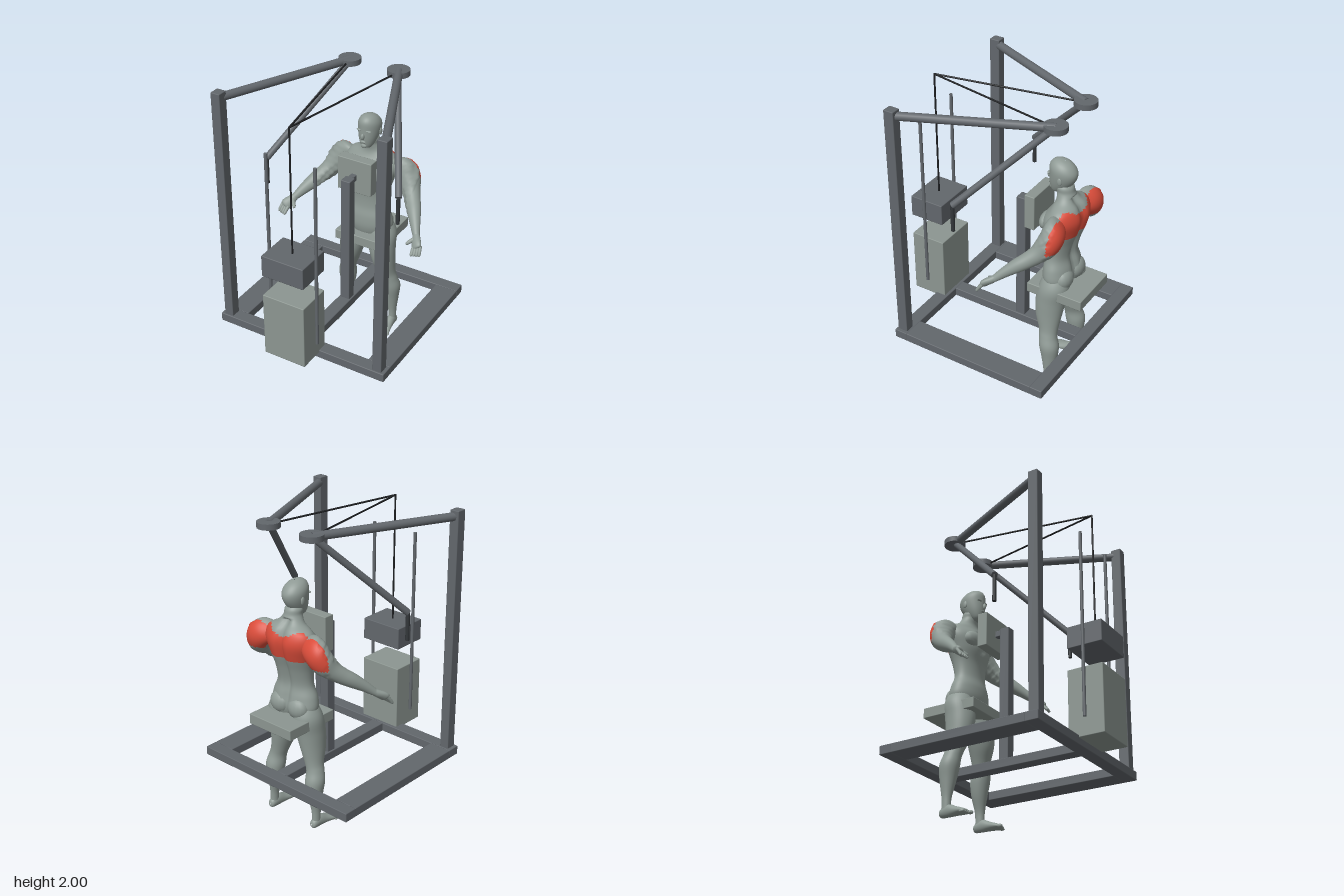
import * as THREE from 'three';
import { RoundedBoxGeometry } from 'three/addons/geometries/RoundedBoxGeometry.js';

const paint = (name, color) => Object.assign(new THREE.MeshStandardMaterial({ color }), { name });
const steel = paint('steel grey', 0x62676c);
const pad = paint('pad grey', 0x8c9691);
const skin = paint('figure grey', 0x8f9a95);
const muscle = paint('muscle red', 0xd94c3a);
const grip = paint('grip black', 0x33373a);
const cable = paint('cable black', 0x1e2022);

const V = (x, y, z) => new THREE.Vector3(x, y, z);

function add(parent, name, geometry, material) {
  const mesh = new THREE.Mesh(geometry, material);
  mesh.name = name;
  parent.add(mesh);
  return mesh;
}

// Softly edged block given by its limits on each axis
function block(parent, name, [x0, x1], [y0, y1], [z0, z1], material) {
  const g = new RoundedBoxGeometry(x1 - x0, y1 - y0, z1 - z0, 1, 0.005);
  g.translate((x0 + x1) / 2, (y0 + y1) / 2, (z0 + z1) / 2);
  return add(parent, name, g, material);
}

// Round bar between two points
function bar(parent, name, a, b, r, material, sides = 20) {
  const mesh = add(parent, name, new THREE.CylinderGeometry(r, r, a.distanceTo(b), sides), material);
  mesh.position.copy(a).lerp(b, 0.5);
  mesh.quaternion.setFromUnitVectors(V(0, 1, 0), b.clone().sub(a).normalize());
  return mesh;
}

function ball(parent, name, [x, y, z], [rx, ry, rz], material = skin) {
  const g = new THREE.SphereGeometry(1, 16, 12);
  g.scale(rx, ry, rz);
  g.translate(x, y, z);
  return add(parent, name, g, material);
}

// Smooth loft through elliptical stations [x, y, z, ra, rb]; faces passing isRed get the second material
function loft(parent, name, stations, { isRed = () => false, warp = () => {}, sides = 36, steps = 5 } = {}) {
  const path = new THREE.CatmullRomCurve3(stations.map(s => V(s[0], s[1], s[2])), false, 'catmullrom');
  const radii = new THREE.CatmullRomCurve3(stations.map(s => V(s[3], s[4], 0)), false, 'catmullrom');
  const dir = path.points.at(-1).clone().sub(path.points[0]).normalize();
  const side = dir.clone().cross(Math.abs(dir.z) > 0.9 ? V(0, 1, 0) : V(0, 0, 1)).normalize();
  const up = dir.clone().cross(side);
  const rows = (stations.length - 1) * steps;
  const points = [];
  for (let i = 0; i <= rows; i++) {
    const c = path.getPoint(i / rows), r = radii.getPoint(i / rows);
    for (let j = 0; j < sides; j++) {
      const a = (j / sides) * Math.PI * 2;
      const p = c.clone().addScaledVector(side, r.x * Math.cos(a)).addScaledVector(up, r.y * Math.sin(a));
      warp(p, c);
      points.push(p);
    }
  }
  const plain = [], red = [];
  for (let i = 0; i < rows; i++) {
    for (let j = 0; j < sides; j++) {
      const k = (j + 1) % sides;
      const a = i * sides + j, b = i * sides + k, c = b + sides, d = a + sides;
      const mid = points[a].clone().add(points[c]).multiplyScalar(0.5);
      (isRed(mid) ? red : plain).push(a, b, c, a, c, d);
    }
  }
  const g = new THREE.BufferGeometry().setFromPoints(points);
  g.setIndex([...plain, ...red]);
  g.addGroup(0, plain.length, 0);
  if (red.length) g.addGroup(plain.length, red.length, 1);
  g.computeVertexNormals();
  return add(parent, name, g, [skin, muscle]);
}

function buildMachine() {
  const m = new THREE.Group();
  m.name = 'machine';
  // Floor frame
  const level = [0.31, 0.37];
  block(m, 'frontBaseBar', [-0.62, 0.62], level, [0.39, 0.48], steel);
  block(m, 'backBaseBar', [-0.62, 0.62], level, [-0.64, -0.553], steel);
  block(m, 'centreBaseBar', [-0.045, 0.045], level, [-0.556, 0.393], steel);
  // Chest support and seat
  block(m, 'chestPost', [-0.034, 0.034], [0.365, 1.29], [-0.158, -0.09], steel);
  block(m, 'chestPadBracket', [-0.02, 0.02], [1.245, 1.288], [-0.21, -0.15], steel);
  block(m, 'chestPad', [-0.125, 0.125], [1.15, 1.39], [-0.275, -0.203], pad);
  block(m, 'seat', [-0.177, 0.177], [0.705, 0.775], [-0.652, -0.26], pad);
  // Weights
  block(m, 'weightStack', [-0.15, 0.15], [0.353, 0.805], [0.41, 0.653], pad);
  block(m, 'liftedWeight', [-0.15, 0.15], [0.95, 1.098], [0.41, 0.653], steel);
  bar(m, 'weightCable', V(0, 1.09, 0.533), V(0, 1.961, 0.533), 0.006, cable, 10);
  for (const s of [1, -1]) {
    const span = (a, b) => (s > 0 ? [a, b] : [-b, -a]);
    block(m, 'sideBaseBar', span(0.462, 0.62), level, [-0.556, 0.393], steel);
    block(m, 'upright', span(0.532, 0.597), [0.365, 2], [0.4, 0.47], steel);
    bar(m, 'guideRod', V(s * 0.17, 0.47, 0.533), V(s * 0.17, 1.742, 0.533), 0.011, steel);
    // Overhead arm, pulley and swinging handle arm
    bar(m, 'overheadArm', V(s * 0.565, 1.958, 0.43), V(s * 0.178, 1.958, -0.44), 0.027, steel);
    bar(m, 'pulley', V(s * 0.176, 1.94, -0.44), V(s * 0.176, 1.977, -0.44), 0.073, steel, 36);
    bar(m, 'handleArm', V(s * 0.176, 1.95, -0.43), V(s * 0.478, 1.41, 0.085), 0.022, steel);
    bar(m, 'handle', V(s * 0.478, 1.225, 0.086), V(s * 0.478, 1.41, 0.086), 0.013, grip);
    bar(m, 'overheadCable', V(s * 0.165, 1.957, -0.37), V(0, 1.957, 0.533), 0.006, cable, 10);
  }
  return m;
}

function buildFigure() {
  const f = new THREE.Group();
  f.name = 'figure';
  // Torso with a spine groove; the upper back is red
  loft(f, 'torso', [
    [0, 0.72, -0.42, 0.02, 0.02], [0, 0.75, -0.42, 0.12, 0.08], [0, 0.82, -0.42, 0.172, 0.105],
    [0, 0.90, -0.413, 0.165, 0.098], [0, 0.98, -0.412, 0.135, 0.083], [0, 1.08, -0.42, 0.14, 0.094],
    [0, 1.18, -0.425, 0.168, 0.122], [0, 1.27, -0.437, 0.192, 0.126], [0, 1.34, -0.45, 0.165, 0.092],
    [0, 1.385, -0.44, 0.092, 0.066], [0, 1.43, -0.425, 0.06, 0.057], [0, 1.47, -0.415, 0.056, 0.055],
    [0, 1.51, -0.41, 0.02, 0.02],
  ], {
    sides: 56, steps: 6,
    isRed: p => p.z < -0.475 && p.y > 1.165 && p.y < Math.min(1.31 + Math.abs(p.x) * 0.4, 1.36),
    warp: (p, c) => {
      if (p.y > 1.41) return;
      const groove = Math.exp(-((p.x / 0.03) ** 2));
      if (p.z < c.z) p.z += 0.03 * groove * Math.min(1, (c.z - p.z) / 0.06);
      else if (p.y > 1.15 && p.y < 1.32) p.z -= 0.012 * groove;
    },
  });
  // Head
  loft(f, 'head', [
    [0, 1.415, -0.35, 0.004, 0.004], [0, 1.425, -0.357, 0.033, 0.034], [0, 1.47, -0.376, 0.056, 0.065],
    [0, 1.53, -0.397, 0.071, 0.088], [0, 1.58, -0.405, 0.073, 0.094], [0, 1.615, -0.408, 0.057, 0.074],
    [0, 1.635, -0.41, 0.03, 0.04], [0, 1.641, -0.41, 0.003, 0.003],
  ]);
  ball(f, 'nose', [0, 1.512, -0.307], [0.012, 0.022, 0.014]);
  ball(f, 'lips', [0, 1.473, -0.313], [0.022, 0.008, 0.008]);
  ball(f, 'chin', [0, 1.44, -0.328], [0.022, 0.018, 0.016]);
  for (const s of [1, -1]) {
    const at = list => list.map(([x, ...rest]) => [s * x, ...rest]);
    ball(f, 'brow', [s * 0.03, 1.55, -0.324], [0.024, 0.007, 0.012]);
    ball(f, 'ear', [s * 0.073, 1.525, -0.415], [0.008, 0.026, 0.016]);
    ball(f, 'chestMuscle', [s * 0.075, 1.235, -0.345], [0.08, 0.06, 0.045]);
    ball(f, 'buttock', [s * 0.075, 0.83, -0.47], [0.078, 0.075, 0.06]);
    // Arm: rugged at the upper arm, red behind the shoulder
    loft(f, 'arm', at([
      [0.12, 1.31, -0.465, 0.02, 0.02], [0.175, 1.295, -0.475, 0.072, 0.066], [0.23, 1.255, -0.475, 0.088, 0.08],
      [0.275, 1.195, -0.455, 0.082, 0.074], [0.31, 1.145, -0.42, 0.062, 0.06], [0.345, 1.105, -0.375, 0.054, 0.052],
      [0.385, 1.065, -0.32, 0.048, 0.046], [0.43, 1.015, -0.255, 0.035, 0.033], [0.458, 0.98, -0.215, 0.026, 0.025],
      [0.475, 0.963, -0.195, 0.02, 0.02],
    ]), {
      isRed: p => p.z < -0.485 && p.y > 1.165 && p.y < 1.36,
      warp: p => {
        const x = Math.abs(p.x);
        if (x > 0.2 && x < 0.34 && p.z > -0.5) p.x += s * 0.008 * Math.sin(p.y * 110) * Math.sin(p.z * 90 + x * 60);
      },
    });
    // Hand
    loft(f, 'palm', at([
      [0.45, 0.99, -0.225, 0.018, 0.016], [0.47, 0.965, -0.195, 0.028, 0.022], [0.49, 0.942, -0.16, 0.037, 0.022],
      [0.502, 0.925, -0.14, 0.034, 0.017], [0.506, 0.92, -0.134, 0.004, 0.004],
    ]), { sides: 20 });
    for (let i = 0; i < 4; i++) {
      const u = i / 3;
      loft(f, 'finger', at([
        [0.478 + 0.045 * u, 0.922 + 0.018 * u, -0.142 - 0.012 * u, 0.011, 0.011],
        [0.482 + 0.048 * u, 0.9 + 0.01 * u, -0.12 - 0.01 * u, 0.011, 0.011],
        [0.484 + 0.05 * u, 0.884 + 0.005 * u, -0.103 - 0.014 * u, 0.009, 0.009],
        [0.485 + 0.05 * u, 0.878 + 0.005 * u, -0.097 - 0.014 * u, 0.002, 0.002],
      ]), { sides: 12 });
    }
    loft(f, 'thumb', at([
      [0.468, 0.96, -0.185, 0.014, 0.014], [0.446, 0.945, -0.16, 0.014, 0.014],
      [0.43, 0.932, -0.142, 0.01, 0.01], [0.426, 0.928, -0.136, 0.002, 0.002],
    ]), { sides: 12 });
    // Leg
    loft(f, 'leg', at([
      [0.09, 0.88, -0.42, 0.05, 0.06], [0.1, 0.77, -0.42, 0.098, 0.1], [0.113, 0.66, -0.403, 0.091, 0.1],
      [0.13, 0.55, -0.4, 0.075, 0.088], [0.15, 0.455, -0.412, 0.058, 0.065], [0.165, 0.4, -0.42, 0.056, 0.06],
      [0.175, 0.33, -0.434, 0.063, 0.066], [0.178, 0.24, -0.44, 0.05, 0.054], [0.186, 0.14, -0.44, 0.03, 0.035],
      [0.188, 0.08, -0.44, 0.026, 0.031], [0.188, 0.03, -0.44, 0.026, 0.032],
    ]));
    // Foot flattened on the ground
    loft(f, 'foot', at([
      [0.188, 0.03, -0.485, 0.004, 0.004], [0.188, 0.03, -0.472, 0.024, 0.028], [0.188, 0.038, -0.42, 0.03, 0.042],
      [0.19, 0.028, -0.36, 0.035, 0.03], [0.194, 0.018, -0.305, 0.042, 0.02], [0.195, 0.013, -0.28, 0.036, 0.013],
      [0.195, 0.012, -0.272, 0.004, 0.004],
    ]), { warp: p => { p.y = Math.max(p.y, 0); } });
    for (let i = 0; i < 5; i++) {
      const r = i ? 0.009 : 0.013;
      ball(f, 'toe', [s * (0.165 + 0.0165 * i), r, -0.272 - 0.006 * i], [r, r, 0.018]);
    }
  }
  return f;
}

export function createModel() {
  const model = new THREE.Group();
  model.name = 'rearShoulderMachine';
  model.add(buildMachine(), buildFigure());
  return model;
}
